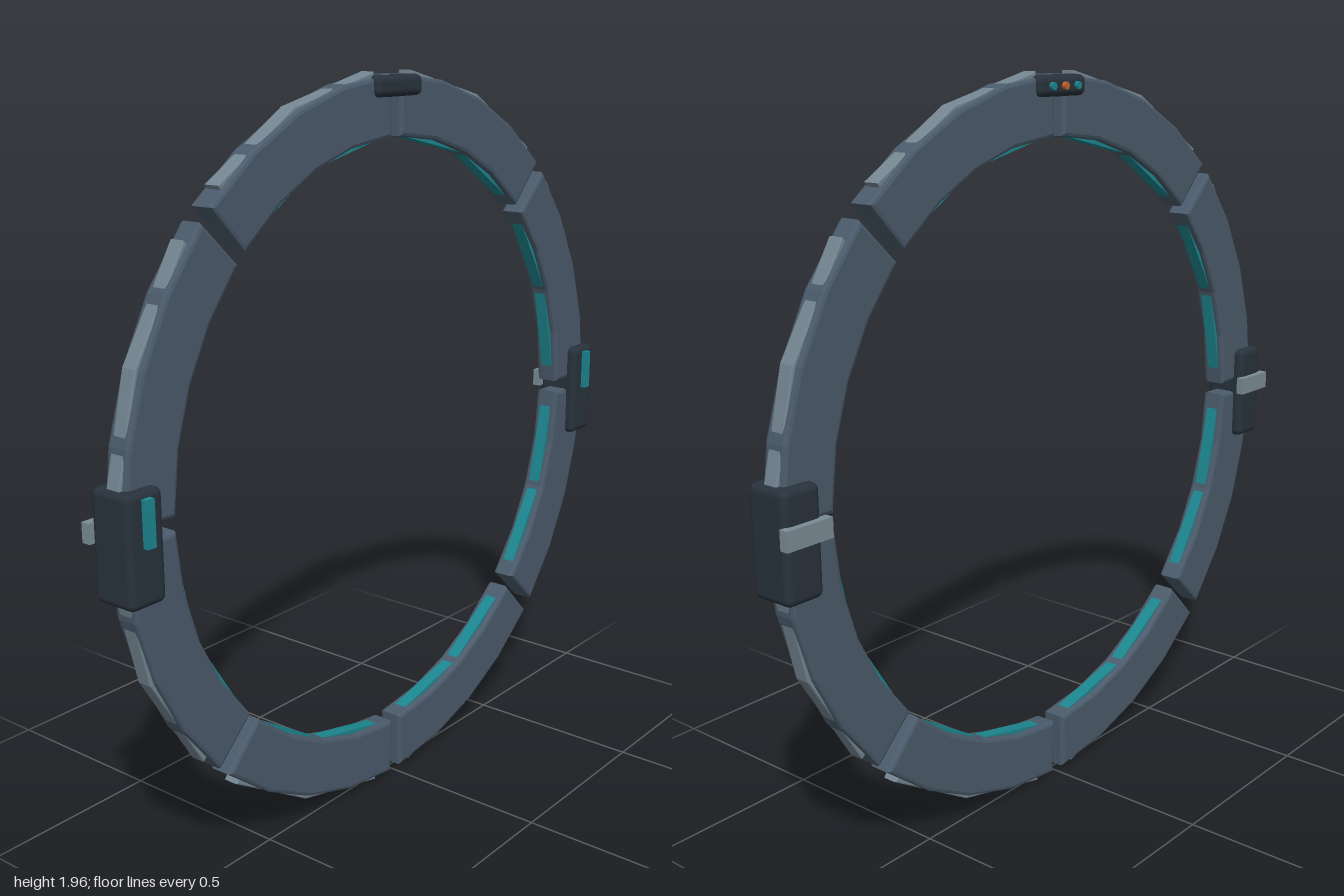
import * as THREE from 'three';
import { RoundedBoxGeometry } from 'three/addons/geometries/RoundedBoxGeometry.js';

const CENTER_Y = 0.984;
const rad = THREE.MathUtils.degToRad;
const mat = (color) => new THREE.MeshStandardMaterial({ color });

// Bevelled, faceted arc slab; the given sizes are the outer sizes including bevel
function arcSlab(rIn, rOut, degFrom, degTo, chords, depth, bevel) {
  const pts = [];
  const addArc = (r, from, to) => {
    const trim = (bevel / r) * Math.sign(to - from);
    for (let i = 0; i <= chords; i++) {
      const a = THREE.MathUtils.lerp(rad(from) + trim, rad(to) - trim, i / chords);
      pts.push(new THREE.Vector2(Math.cos(a) * r, Math.sin(a) * r));
    }
  };
  addArc(rOut - bevel, degFrom, degTo);
  addArc(rIn + bevel, degTo, degFrom);
  const geo = new THREE.ExtrudeGeometry(new THREE.Shape(pts), {
    depth: depth - 2 * bevel,
    bevelEnabled: bevel > 0,
    bevelSize: bevel,
    bevelThickness: bevel,
    bevelSegments: 2,
  });
  return geo.translate(0, 0, -depth / 2 + bevel);
}

export function createModel() {
  const model = new THREE.Group();
  model.name = 'segmentedRing';

  const bodyMat = mat(0x4b5b6b);
  const plateMat = mat(0x748692);
  const tealMat = mat(0x1c8790);
  const darkMat = mat(0x28323c);
  const clipMat = mat(0x7b8c95);
  const amberMat = mat(0xc8642a);

  const add = (parent, name, geo, material, x = 0, y = 0, z = 0) => {
    const mesh = new THREE.Mesh(geo, material);
    mesh.name = name;
    mesh.position.set(x, y, z);
    parent.add(mesh);
    return mesh;
  };

  // Eight ring segments, each with an outer plate and an inner light strip
  const bodyGeo = arcSlab(0.818, 0.975, 1.2, 43.8, 4, 0.07, 0.01);
  const plateGeo = arcSlab(0.945, 0.985, 4.5, 40.5, 2, 0.044, 0.004);
  const stripGeo = arcSlab(0.819, 0.85, 3, 42, 2, 0.036, 0);
  for (let i = 0; i < 8; i++) {
    const segment = new THREE.Group();
    segment.name = 'ringSegment' + (i + 1);
    segment.position.y = CENTER_Y;
    segment.rotation.z = (i * Math.PI) / 4;
    add(segment, 'segmentBody', bodyGeo, bodyMat);
    add(segment, 'outerPlate', plateGeo, plateMat);
    add(segment, 'innerLightStrip', stripGeo, tealMat);
    model.add(segment);
  }

  // Side housings: light bar in front, clip at the back
  for (const side of [1, -1]) {
    const housing = new THREE.Group();
    housing.name = side > 0 ? 'leftHousing' : 'rightHousing';
    const x = side * 0.934;
    add(housing, 'housingBody', new RoundedBoxGeometry(0.11, 0.276, 0.124, 3, 0.018), darkMat, x, 0.96, 0);
    add(housing, 'lightBar', new THREE.BoxGeometry(0.026, 0.115, 0.02), tealMat, x, 1.025, 0.067);
    add(housing, 'backClip', new THREE.BoxGeometry(0.136, 0.05, 0.024), clipMat, side * 0.932, 0.99, -0.068);
    model.add(housing);
  }

  // Top sensor block with three lamps on its back
  const sensor = new THREE.Group();
  sensor.name = 'topSensor';
  add(sensor, 'sensorBody', new RoundedBoxGeometry(0.19, 0.054, 0.1, 3, 0.018), darkMat, 0, 1.93, 0);
  const lampGeo = new THREE.CylinderGeometry(0.01, 0.01, 0.016, 12).rotateX(Math.PI / 2);
  [-0.05, 0, 0.05].forEach((x) => {
    add(sensor, 'sensorLamp', lampGeo, x === 0 ? amberMat : tealMat, x, 1.93, -0.052);
  });
  model.add(sensor);

  return model;
}
